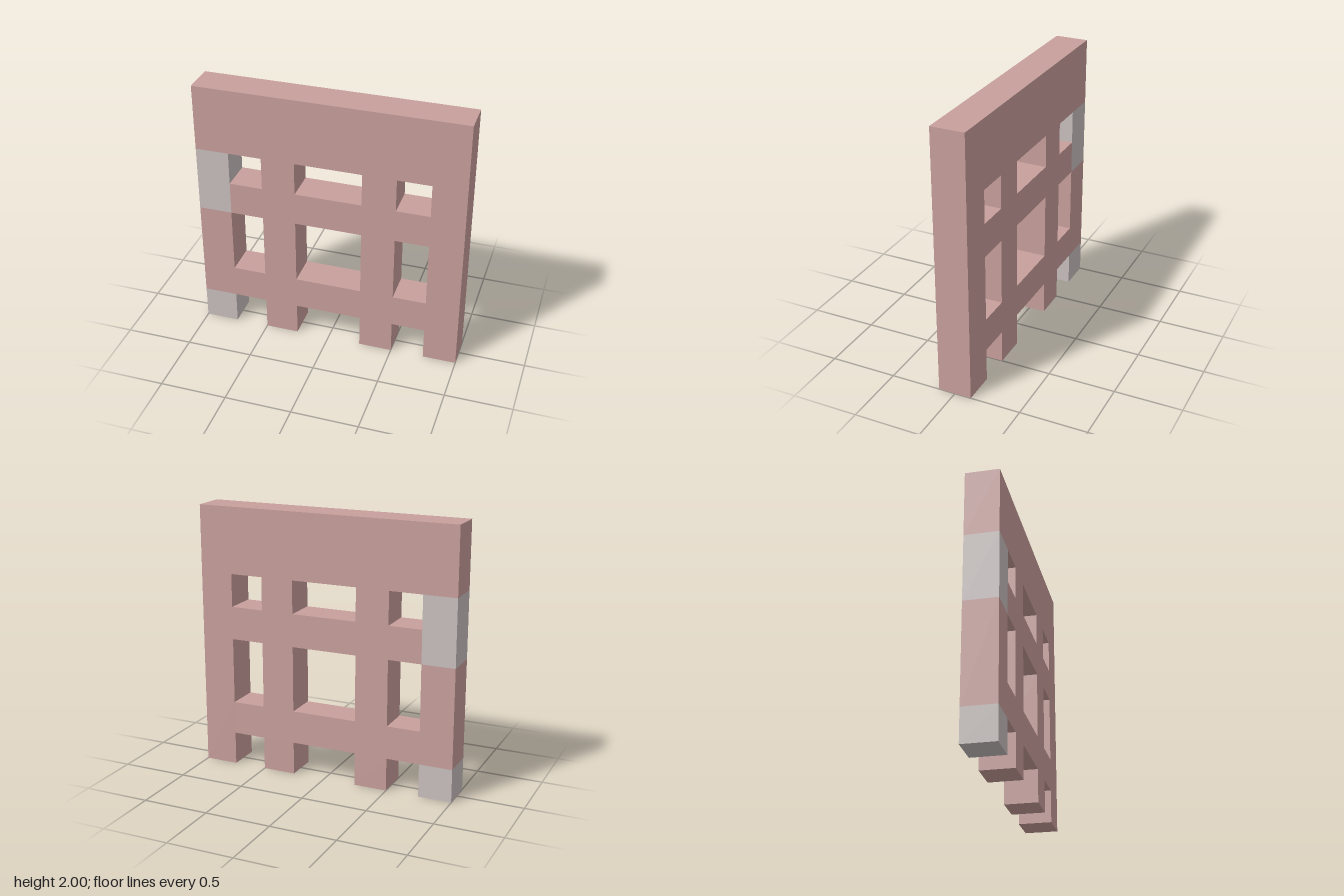
import * as THREE from 'three';

const DEPTH = 0.25;

// Extrude a flat outline (with optional rectangular holes) centred on z = 0
function slab(name, points, holes, material) {
  const shape = new THREE.Shape(points.map(([x, y]) => new THREE.Vector2(x, y)));
  for (const [x0, y0, x1, y1] of holes) {
    shape.holes.push(new THREE.Path([
      new THREE.Vector2(x0, y0), new THREE.Vector2(x0, y1),
      new THREE.Vector2(x1, y1), new THREE.Vector2(x1, y0),
    ]));
  }
  const geometry = new THREE.ExtrudeGeometry(shape, { depth: DEPTH, bevelEnabled: false });
  geometry.translate(0, 0, -DEPTH / 2);
  const mesh = new THREE.Mesh(geometry, material);
  mesh.name = name;
  return mesh;
}

export function createModel() {
  const group = new THREE.Group();
  group.name = 'latticeGate';

  const rose = new THREE.MeshStandardMaterial({ color: 0xc89f9c });
  rose.name = 'dustyRose';
  const grey = new THREE.MeshStandardMaterial({ color: 0xc9c0bf });
  grey.name = 'paleGrey';

  // Lower lattice: feet, lower rail and the posts up to the middle rail
  group.add(slab('lowerLattice', [
    [-1, 0.25], [-0.5, 0.25], [-0.5, 0], [-0.25, 0], [-0.25, 0.25],
    [0.25, 0.25], [0.25, 0], [0.5, 0], [0.5, 0.25], [0.75, 0.25], [0.75, 0],
    [1, 0], [1, 1], [0.75, 1], [0.75, 0.5], [0.5, 0.5], [0.5, 1],
    [0.25, 1], [0.25, 0.5], [-0.25, 0.5], [-0.25, 1], [-0.5, 1],
    [-0.5, 0.5], [-0.75, 0.5], [-0.75, 1], [-1, 1],
  ], [], rose));

  // Upper lattice: middle rail, upper posts and the solid top panel
  group.add(slab('upperLattice', [
    [-0.75, 1], [1, 1], [1, 2], [-1, 2], [-1, 1.5],
    [-0.5, 1.5], [-0.5, 1.25], [-0.75, 1.25],
  ], [
    [-0.25, 1.25, 0.25, 1.5],
    [0.5, 1.25, 0.75, 1.5],
  ], rose));

  // Grey sections of the right-hand post
  for (const [name, y0, y1] of [['greyFoot', 0, 0.25], ['greyPostSection', 1, 1.5]]) {
    const block = new THREE.Mesh(new THREE.BoxGeometry(0.25, y1 - y0, DEPTH), grey);
    block.name = name;
    block.position.set(-0.875, (y0 + y1) / 2, 0);
    group.add(block);
  }

  return group;
}
